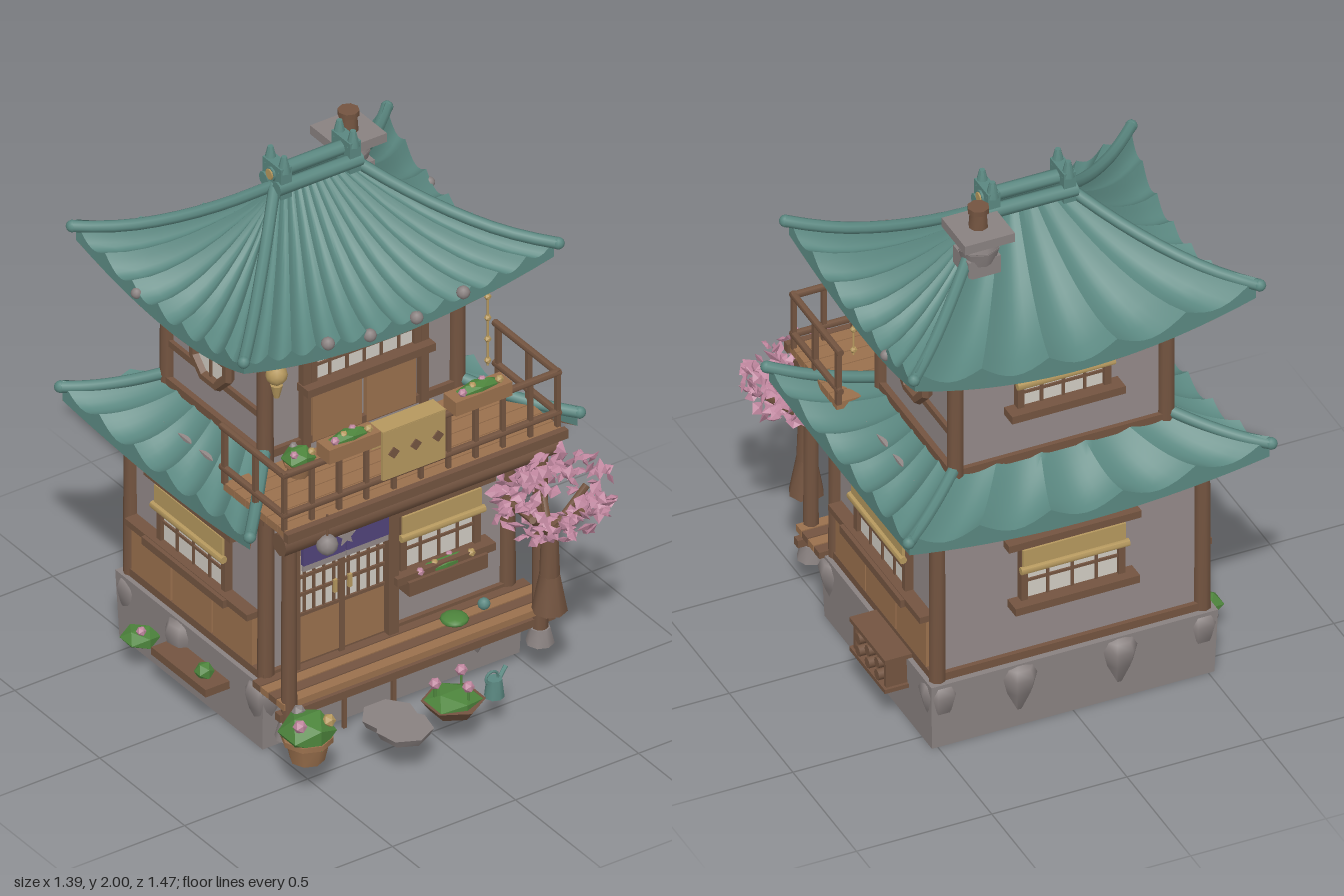
import * as THREE from 'three';
import { mergeGeometries, toCreasedNormals } from 'three/addons/utils/BufferGeometryUtils.js';

const mat = (name, color, extra = {}) => new THREE.MeshStandardMaterial({ name, color, ...extra });
const M = {
  teal: mat('roofTeal', 0x5a8780, { side: THREE.DoubleSide }), dark: mat('darkWood', 0x735440, { side: THREE.DoubleSide }),
  light: mat('lightWood', 0x9a704d), wall: mat('plasterGrey', 0x938988), stone: mat('stoneGrey', 0x898180),
  gold: mat('bambooGold', 0xb5985e), purple: mat('curtainPurple', 0x51437a), pink: mat('blossomPink', 0xbf869e),
  green: mat('leafGreen', 0x4d843c), cream: mat('paperCream', 0xd0cbc2),
};
const V = (x, y, z) => new THREE.Vector3(x, y, z);
const X1 = 0.49, ZF = 0.24, ZB = -0.55;          // ground floor walls
const X2 = 0.39, UF = 0.09, UB = -0.48;          // upper floor walls

let seed = 7;
const rnd = () => (seed = (seed * 16807) % 2147483647) / 2147483647;

function add(parent, name, geo, m, x = 0, y = 0, z = 0) {
  const mesh = new THREE.Mesh(geo, m);
  mesh.name = name; mesh.position.set(x, y, z); parent.add(mesh);
  return mesh;
}
const box = (p, name, m, w, h, d, x, y, z) => add(p, name, new THREE.BoxGeometry(w, h, d), m, x, y, z);
const cyl = (p, name, m, rt, rb, h, x, y, z, n = 8) =>
  add(p, name, toCreasedNormals(new THREE.CylinderGeometry(rt, rb, h, n), 0.9), m, x, y, z);
const blob = (p, name, m, r, x, y, z, d = 1) => add(p, name, new THREE.IcosahedronGeometry(r, d), m, x, y, z);
const tube = (p, name, m, pts, r) =>
  add(p, name, new THREE.TubeGeometry(new THREE.CatmullRomCurve3(pts), 10, r, 8), m);
function rod(p, name, m, a, b, r) {
  const mesh = cyl(p, name, m, r, r, a.distanceTo(b), 0, 0, 0);
  mesh.position.copy(a).lerp(b, 0.5);
  mesh.quaternion.setFromUnitVectors(V(0, 1, 0), b.clone().sub(a).normalize());
  return mesh;
}
function part(parent, name, x, y, z, ry = 0) {
  const g = new THREE.Group();
  g.name = name; g.position.set(x, y, z); g.rotation.y = ry; parent.add(g);
  return g;
}

// One curved roof slope: inner edge A-B, eave C-D, sagging and bowing in the middle, n tile channels
function roofSide(p, A, B, C, D, drop, bow, n) {
  const lift = 0.018 + 0.15 / n;
  const point = (u, v) => {
    const I = A.clone().lerp(B, u), E = C.clone().lerp(D, u), t = 1 - (2 * u - 1) ** 2;
    E.addScaledVector(bow, t).y -= drop * t;
    const q = I.clone().lerp(E, v);
    q.y = I.y + (E.y - I.y) * (1 - (1 - v) ** 1.7);
    return q;
  };
  const build = (nu, nv, rule) => {
    const g = new THREE.PlaneGeometry(1, 1, nu, nv), a = g.attributes.position;
    for (let i = 0; i < a.count; i++) {
      const q = rule(a.getX(i) + 0.5, Math.round((0.5 - a.getY(i)) * nv));
      a.setXYZ(i, q.x, q.y, q.z);
    }
    return toCreasedNormals(g, 0.5);
  };
  add(p, 'roofTiles', build(n * 8, 9, (u, row) => {
    const v = Math.min(1, row / 8), q = point(u, v);
    q.y += row > 8 ? -0.035 : lift * (1 - Math.abs(Math.sin(Math.PI * n * u))) * (0.3 + 0.7 * v);
    return q;
  }), M.teal);
  add(p, 'roofUnderside', build(14, 4, (u, row) => { const q = point(u, row / 4); q.y -= 0.035; return q; }), M.dark);
}

function roof(parent, name, inner, outer, drop, counts) {
  const g = part(parent, name, 0, 0, 0);
  const ring = ([x, y, z1, z0]) => [V(-x, y, z1), V(x, y, z1), V(x, y, z0), V(-x, y, z0)];
  const a = ring(inner), b = ring(outer), bows = [V(0, 0, -0.045), V(-0.04, 0, 0), V(0, 0, 0.02), V(0.04, 0, 0)];
  for (let i = 0; i < 4; i++) {
    const j = (i + 1) % 4;
    if (counts[i]) roofSide(g, a[i], a[j], b[i], b[j], drop, bows[i], counts[i]);
    const pts = [0, 0.25, 0.5, 0.75, 1, 1.02].map(v => {
      const q = a[i].clone().lerp(b[i], v);
      q.y = a[i].y + (b[i].y - a[i].y) * (1 - (1 - Math.min(v, 1)) ** 1.7) + 0.02;
      return q;
    });
    tube(g, 'hipRoll', M.teal, pts, 0.021);
    const tip = pts[5];
    blob(g, 'hipTip', M.teal, 0.022, tip.x, tip.y, tip.z);
  }
  return g;
}

// Latticed window facing +z, centred on its pane
function paneWindow(parent, x, y, z, ry, w, h, blind = true) {
  const g = part(parent, 'window', x, y, z, ry), cells = blind ? 4 : 6;
  box(g, 'pane', M.cream, w, h, 0.02, 0, 0, 0.005);
  for (const s of [-1, 1]) box(g, 'windowJamb', M.dark, 0.025, h + 0.02, 0.04, s * w / 2, 0, 0.01);
  for (let i = 1; i < cells; i++) box(g, 'latticeBar', M.dark, 0.01, h, 0.008, -w / 2 + i * w / cells, 0, 0.018);
  box(g, 'latticeRail', M.dark, w, 0.01, 0.008, 0, -h * 0.15, 0.018);
  box(g, 'lintel', M.dark, w + 0.13, 0.028, 0.06, 0, h / 2 + 0.02, 0.015);
  box(g, 'sill', M.dark, w + 0.1, 0.03, 0.08, 0, -h / 2 - 0.01, 0.025);
  if (blind) {
    box(g, 'blind', M.gold, w + 0.02, h * 0.36, 0.03, 0, h * 0.3, 0.025);
    rod(g, 'blindRoll', M.gold, V(-w / 2 - 0.02, h * 0.12, 0.04), V(w / 2 + 0.02, h * 0.12, 0.04), 0.014);
  }
}

function planter(parent, x, y, z, w, wood) {
  const g = part(parent, 'flowerBox', x, y, z);
  box(g, 'planterBox', wood, w, 0.055, 0.075, 0, 0, 0);
  blob(g, 'foliage', M.green, 0.05, 0, 0.03, 0, 0).scale.set(w * 8, 0.5, 0.7);
  for (let i = 0; i < 4; i++)
    blob(g, 'flower', i % 2 ? M.gold : M.pink, 0.016, (i / 3 - 0.5) * w * 0.65, 0.043, 0.018 - 0.015 * (i % 3), 0);
}
function pot(parent, x, y, z, s) {
  const g = part(parent, 'pottedPlant', x, y, z);
  g.scale.setScalar(s);
  cyl(g, 'pot', M.light, 0.08, 0.06, 0.09, 0, 0.045, 0);
  cyl(g, 'potRim', M.light, 0.09, 0.09, 0.02, 0, 0.085, 0);
  blob(g, 'bush', M.green, 0.1, 0, 0.11, 0, 0).scale.y = 0.75;
  [[0.06, 0.15, 0.04], [-0.05, 0.16, 0.03], [0, 0.16, -0.05]].forEach((q, i) => blob(g, 'flower', [M.gold, M.pink, M.stone][i], 0.025, ...q, 0));
}

export function createModel() {
  const root = new THREE.Group();
  root.name = 'teaHouse';

  // Stone base with pointed boulders
  const baseGeo = new THREE.BoxGeometry(1.06, 0.26, 0.87), bp = baseGeo.attributes.position;
  for (let i = 0; i < bp.count; i++) if (bp.getY(i) < 0) bp.setXYZ(i, bp.getX(i) * 0.985, -0.13, bp.getZ(i) * 0.97);
  add(root, 'stoneBase', baseGeo, M.stone, 0, 0.13, -0.155);
  const drop = new THREE.LatheGeometry([[0, -0.17], [0.055, -0.05], [0.07, 0.01], [0.055, 0.045], [0, 0.06]].map(q => new THREE.Vector2(...q)), 7);
  for (const [x, z] of [[-0.49, 0.23], [0.49, 0.23], [-0.48, -0.54], [0.48, -0.54], [-0.39, 0.255], [0.35, 0.255], [-0.17, -0.565], [0.2, -0.565], [0.505, -0.22], [-0.505, -0.22]])
    add(root, 'boulder', drop, M.stone, x, 0.2, z);

  // Ground and upper floor walls, corner posts and beams
  function storey(name, x, zf, zb, y0, y1, beams) {
    const g = part(root, name, 0, 0, 0), zc = (zf + zb) / 2, d = zf - zb;
    box(g, 'walls', M.wall, 2 * x, y1 - y0, d, 0, (y0 + y1) / 2, zc);
    for (const sx of [-1, 1]) {
      for (const z of [zf, zb]) cyl(g, 'cornerPost', M.dark, 0.028, 0.03, y1 - y0, sx * x, (y0 + y1) / 2, z);
      for (const y of beams) box(g, 'sideBeam', M.dark, 0.035, 0.03, d + 0.04, sx * (x + 0.005), y, zc);
    }
    for (const y of beams) for (const z of [zf, zb]) box(g, 'beam', M.dark, 2 * x + 0.04, 0.03, 0.035, 0, y, z);
  }
  storey('groundFloor', X1, ZF, ZB, 0.25, 0.96, [0.275, 0.9]);
  storey('upperFloor', X2, UF, UB, 0.96, 1.56, [1.04, 1.5]);

  for (const s of [-1, 1]) {
    const ry = s * Math.PI / 2;
    paneWindow(root, s * X1, 0.615, -0.16, ry, 0.38, 0.23);
    // Wooden wainscot under the side windows
    for (let i = 0; i < 3; i++) box(root, 'sidePanel', M.light, 0.03, 0.19, 0.23, s * (X1 + 0.01), 0.39, 0.08 - i * 0.24);
    box(root, 'panelRail', M.dark, 0.06, 0.025, 0.72, s * (X1 + 0.02), 0.495, -0.16);
    box(root, 'upperSideRail', M.dark, 0.03, 0.025, 0.57, s * X2, 1.19, -0.195);
    // Octagonal window
    const o = part(root, 'octagonWindow', s * X2, 1.285, -0.195, ry);
    const pane = cyl(o, 'octagonPane', M.cream, 0.095, 0.095, 0.02, 0, 0, 0.01);
    pane.rotation.set(Math.PI / 2, Math.PI / 8, 0);
    add(o, 'octagonFrame', toCreasedNormals(new THREE.TorusGeometry(0.105, 0.022, 6, 8), 0.5), M.dark, 0, 0, 0.02).rotation.z = Math.PI / 8;
    box(o, 'octagonBar', M.dark, 0.01, 0.18, 0.01, 0, 0, 0.023);
    box(o, 'octagonBar', M.dark, 0.18, 0.01, 0.01, 0, 0, 0.023);
  }
  paneWindow(root, 0, 0.615, ZB, Math.PI, 0.36, 0.22);
  paneWindow(root, 0, 1.33, UB, Math.PI, 0.32, 0.17);
  paneWindow(root, 0.2, 0.615, ZF, 0, 0.3, 0.23);
  planter(root, 0.2, 0.455, 0.28, 0.32, M.dark);
  paneWindow(root, 0, 1.36, UF, 0, 0.42, 0.18, false);
  for (const x of [-0.11, 0.11]) box(root, 'balconyDoorPanel', M.light, 0.2, 0.24, 0.03, x, 1.15, UF + 0.005);
  for (const x of [-0.24, 0.24]) box(root, 'balconyDoorPost', M.dark, 0.03, 0.5, 0.04, x, 1.27, UF + 0.01);

  // Sliding entrance doors with curtain
  const door = part(root, 'entrance', -0.2, 0, ZF);
  for (const s of [-1, 1]) {
    box(door, 'doorPanel', M.light, 0.165, 0.19, 0.03, s * 0.09, 0.385, 0.01);
    box(door, 'doorPaper', M.cream, 0.165, 0.22, 0.02, s * 0.09, 0.585, 0.008);
    for (let i = 0; i < 4; i++) box(door, 'doorBar', M.dark, 0.009, 0.22, 0.008, s * (0.03 + i * 0.04), 0.585, 0.022);
    for (const y of [0.48, 0.56, 0.63]) box(door, 'doorRail', M.dark, 0.17, 0.012, 0.008, s * 0.09, y, 0.024);
    box(door, 'doorPost', M.dark, 0.04, 0.58, 0.06, s * 0.2, 0.55, 0.015);
    box(door, 'curtain', M.purple, 0.17, 0.13, 0.015, s * 0.088, 0.755, 0.045);
    box(door, 'curtainHem', M.wall, 0.17, 0.025, 0.013, s * 0.088, 0.68, 0.045);
    box(door, 'doorHandle', M.gold, 0.014, 0.05, 0.012, s * 0.03, 0.55, 0.03);
  }
  box(door, 'doorMiddle', M.dark, 0.022, 0.42, 0.04, 0, 0.48, 0.01);
  box(door, 'doorLintel', M.dark, 0.46, 0.035, 0.07, 0, 0.835, 0.015);
  const star = new THREE.Shape(Array.from({ length: 10 }, (_, i) => {
    const r = i % 2 ? 0.016 : 0.037, t = Math.PI / 2 + i * Math.PI / 5;
    return new THREE.Vector2(r * Math.cos(t), r * Math.sin(t));
  }));
  add(door, 'curtainStar', new THREE.ExtrudeGeometry(star, { depth: 0.006, bevelEnabled: false }), M.wall, 0, 0.75, 0.053);

  // Porch deck and posts
  for (let i = 0; i < 4; i++) box(root, 'porchPlank', i % 2 ? M.light : M.dark, 1.1, 0.025, 0.042, 0, 0.265, 0.27 + i * 0.047);
  box(root, 'porchBeam', M.dark, 1.12, 0.03, 0.03, 0, 0.22, 0.41);
  for (const x of [-0.22, -0.02]) box(root, 'porchSupport', M.dark, 0.014, 0.25, 0.014, x, 0.125, 0.31);
  for (const x of [-0.52, 0.5]) {
    cyl(root, 'porchPost', M.dark, 0.026, 0.028, 0.78, x, 0.57, 0.42);
    cyl(root, 'postFoot', M.stone, 0.035, 0.05, 0.06, x, 0.165, 0.42);
  }
  rod(root, 'porchCrossBeam', M.dark, V(-0.56, 0.915, 0.42), V(0.55, 0.915, 0.42), 0.042);

  // Balcony
  for (let i = 0; i < 6; i++) box(root, 'balconyPlank', M.light, 1.12, 0.03, 0.06, -0.005, 0.98, 0.13 + i * 0.064);
  box(root, 'balconyEdge', M.dark, 1.14, 0.035, 0.025, -0.005, 0.98, 0.48);
  for (const y of [1.05, 1.21]) {
    rod(root, 'frontRail', M.dark, V(-0.57, y, 0.45), V(0.56, y, 0.45), 0.013);
    for (const x of [-0.56, 0.55]) rod(root, 'sideRail', M.dark, V(x, y, 0.46), V(x, y, 0.08), 0.013);
  }
  for (let i = 0; i <= 10; i++) box(root, 'baluster', M.dark, 0.016, 0.22, 0.016, -0.56 + i * 0.111, 1.1, 0.45);
  for (const x of [-0.56, 0.55]) for (const z of [0.1, 0.28]) box(root, 'sideBaluster', M.dark, 0.018, 0.22, 0.018, x, 1.1, z);
  planter(root, -0.305, 1.25, 0.46, 0.21, M.light);
  planter(root, 0.22, 1.25, 0.46, 0.23, M.light);
  pot(root, -0.33, 0.995, 0.2, 0.6);
  box(root, 'bannerFront', M.gold, 0.255, 0.19, 0.012, -0.06, 1.165, 0.485);
  box(root, 'bannerTop', M.gold, 0.255, 0.012, 0.075, -0.06, 1.258, 0.453);
  box(root, 'bannerBack', M.gold, 0.255, 0.1, 0.012, -0.06, 1.21, 0.42);
  for (const x of [-0.145, -0.055, 0.035]) box(root, 'bannerDiamond', M.dark, 0.032, 0.032, 0.006, x, 1.17, 0.493).rotation.z = Math.PI / 4;

  // Roofs, ridge and eave knobs
  roof(root, 'lowerRoof', [X2, 1.04, UF, UB], [0.665, 0.96, 0.4, -0.705], 0.075, [0, 6, 5, 6]);
  const top = roof(root, 'upperRoof', [0.15, 1.85, -0.2, -0.2], [0.63, 1.605, 0.315, -0.675], 0.115, [12, 7, 5, 7]);
  for (const [y, z] of [[1.92, -0.2], [1.88, -0.16], [1.88, -0.24]]) rod(top, 'ridgeRoll', M.teal, V(-0.17, y, z), V(0.17, y, z), 0.026);
  for (const s of [-1, 1]) {
    box(top, 'ridgeEnd', M.teal, 0.045, 0.12, 0.11, s * 0.14, 1.9, -0.2);
    for (const z of [-0.24, -0.16]) cyl(top, 'ridgeFinial', M.teal, 0.01, 0.024, 0.06, s * 0.14, 1.97, z);
    rod(top, 'ridgeDisc', M.gold, V(s * 0.15, 1.92, -0.2), V(s * 0.175, 1.92, -0.2), 0.02);
    blob(top, 'sideKnob', M.stone, 0.02, s * 0.595, 1.51, -0.37);
  }
  for (const [x, y] of [[-0.26, 1.53], [-0.09, 1.5], [0.1, 1.5], [0.29, 1.53]]) blob(top, 'eaveKnob', M.stone, 0.024, x, y, 0.272);

  // Chimney
  const ch = part(root, 'chimney', 0.225, 0, -0.31);
  box(ch, 'chimneyFoot', M.stone, 0.12, 0.07, 0.12, 0, 1.75, 0.01);
  cyl(ch, 'chimneyBulge', M.stone, 0.075, 0.06, 0.06, 0, 1.79, 0);
  cyl(ch, 'chimneyStack', M.stone, 0.06, 0.075, 0.05, 0, 1.84, 0);
  box(ch, 'chimneyCap', M.stone, 0.185, 0.035, 0.185, 0, 1.875, 0);
  cyl(ch, 'chimneyPot', M.dark, 0.03, 0.035, 0.07, 0, 1.92, 0);
  cyl(ch, 'chimneyPotRim', M.dark, 0.038, 0.038, 0.02, 0, 1.962, 0);

  // Lanterns and hanging bead chain
  for (const [m, x, y, z] of [[M.gold, -0.44, 1.45, 0.23], [M.stone, -0.4, 0.885, 0.47]]) {
    blob(root, 'lantern', m, 0.038, x, y, z);
    cyl(root, 'lanternCord', M.dark, 0.004, 0.004, 0.1, x, y + 0.07, z);
  }
  cyl(root, 'lanternTail', M.gold, 0.022, 0.01, 0.05, -0.44, 1.385, 0.23);
  cyl(root, 'rainChain', M.gold, 0.004, 0.004, 0.4, 0.46, 1.32, 0.17);
  for (let i = 0; i < 5; i++) blob(root, 'chainBead', M.gold, 0.013, 0.46, 1.14 + i * 0.085, 0.17, 0);

  // Firewood rack on one side, shelf with greenery on the other
  const rack = part(root, 'firewoodRack', 0.565, 0, -0.265);
  for (const y of [0.27, 0.15]) box(rack, 'rackShelf', M.dark, 0.1, 0.016, 0.28, 0, y, 0);
  for (const z of [-0.12, 0.12]) box(rack, 'rackLeg', M.dark, 0.08, 0.13, 0.018, 0, 0.205, z);
  for (let i = 0; i < 6; i++) {
    const z = -0.075 + (i % 3) * 0.075, y = i < 3 ? 0.18 : 0.23;
    rod(rack, 'log', M.dark, V(-0.05, y, z), V(0.05, y, z), 0.02);
  }
  box(root, 'sideShelf', M.dark, 0.1, 0.03, 0.32, -0.575, 0.16, -0.08);
  blob(root, 'shelfPlant', M.green, 0.035, -0.575, 0.19, 0, 0);
  blob(root, 'sideShrub', M.green, 0.07, -0.58, 0.13, -0.37, 0).scale.y = 0.5;
  blob(root, 'flower', M.pink, 0.018, -0.59, 0.165, -0.35, 0);

  // Garden: pots, stepping stones, flower bed, watering can
  pot(root, -0.55, 0.14, 0.57, 1);
  for (const z of [0.55, 0.635]) cyl(root, 'steppingStone', M.stone, 0.1, 0.085, 0.03, -0.2, 0.155, z, 7);
  cyl(root, 'flowerBed', M.dark, 0.11, 0.08, 0.04, 0.03, 0.15, 0.59, 6);
  blob(root, 'bedLeaves', M.green, 0.1, 0.03, 0.17, 0.59, 0).scale.y = 0.4;
  for (const [x, z] of [[-0.03, 0.57], [0.09, 0.55], [0.05, 0.65]]) {
    cyl(root, 'flowerStem', M.green, 0.005, 0.005, 0.07, x, 0.21, z);
    blob(root, 'flower', M.pink, 0.022, x, 0.245, z, 0);
  }
  cyl(root, 'wateringCan', M.teal, 0.027, 0.035, 0.07, 0.19, 0.165, 0.6);
  rod(root, 'canSpout', M.teal, V(0.2, 0.16, 0.59), V(0.26, 0.205, 0.565), 0.008);
  add(root, 'canHandle', new THREE.TorusGeometry(0.025, 0.005, 6, 12), M.teal, 0.18, 0.205, 0.6);
  blob(root, 'porchPlant', M.green, 0.05, 0.2, 0.3, 0.35).scale.y = 0.35;
  blob(root, 'porchBowl', M.teal, 0.022, 0.32, 0.315, 0.35);

  // Blossom tree
  const tree = part(root, 'blossomTree', 0.47, 0, 0.52);
  cyl(tree, 'treeRoot', M.dark, 0.036, 0.062, 0.14, 0, 0.4, 0);
  cyl(tree, 'trunk', M.dark, 0.028, 0.036, 0.22, 0, 0.57, 0);
  for (let i = 0; i < 5; i++) {
    const t = i * 1.257;
    rod(tree, 'branch', M.dark, V(0, 0.63, 0), V(Math.cos(t) * 0.15, 0.77, Math.sin(t) * 0.13), 0.013);
  }
  const petals = Array.from({ length: 190 }, () => {
    const g = new THREE.OctahedronGeometry(0.026 + rnd() * 0.014), t = rnd() * 6.283, c = rnd() * 2 - 1, k = Math.cbrt(0.12 + 0.88 * rnd());
    const r = Math.sqrt(1 - c * c) * k;
    return g.scale(1, 0.3, 0.75).rotateX(rnd() * 2 - 1).rotateZ(rnd() * 2 - 1).rotateY(rnd() * 6)
      .translate(Math.cos(t) * r * 0.22, 0.79 + c * k * 0.155, 0.015 + Math.sin(t) * r * 0.185);
  });
  add(tree, 'blossoms', mergeGeometries(petals), M.pink);
  return root;
}
